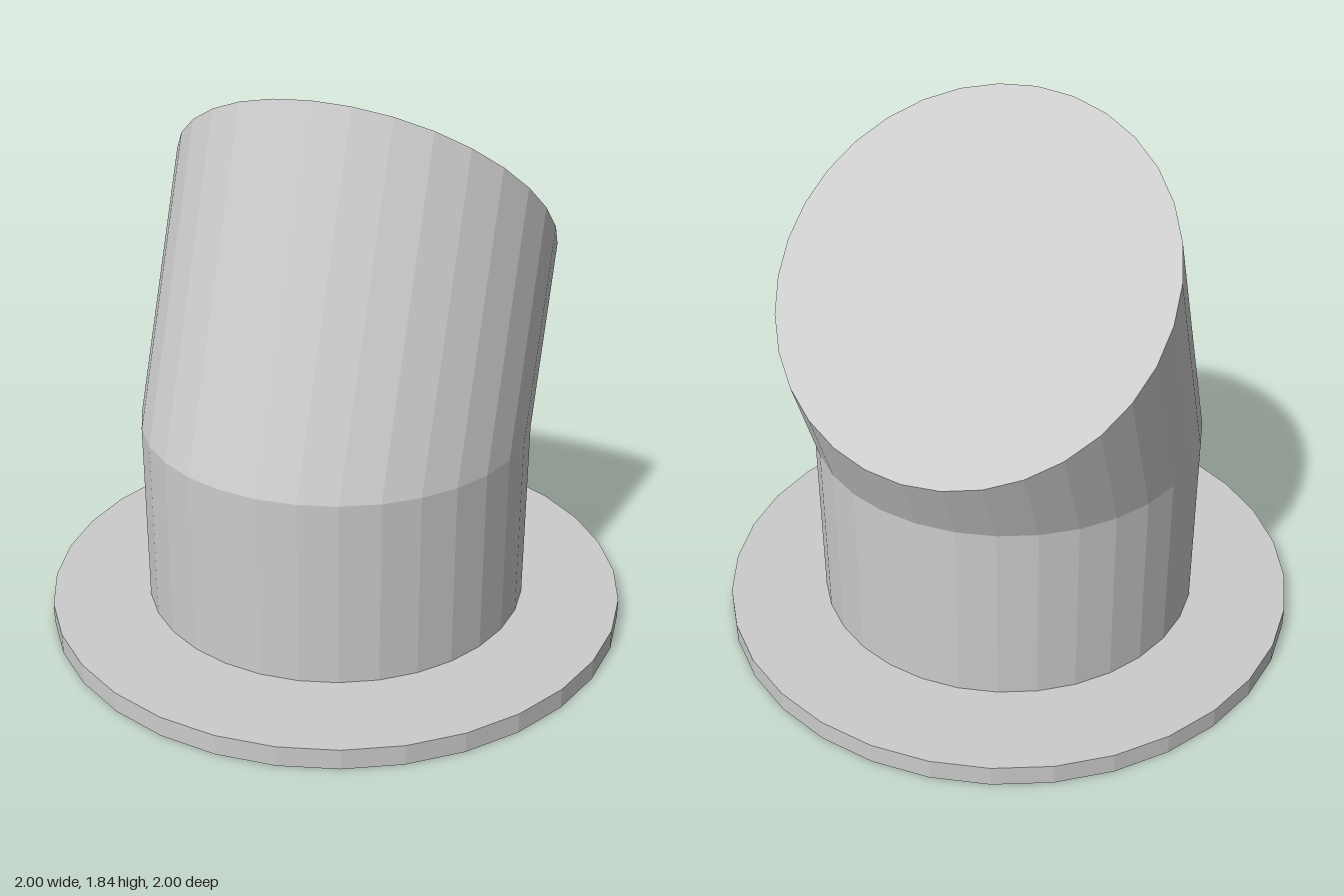
import * as THREE from 'three';

const SIDES = 32;
const R = 0.663;
const FLANGE_TOP = 0.07;
const BEND = 0.71;

export function createModel() {
  const group = new THREE.Group();
  const material = new THREE.MeshStandardMaterial({ color: 0xcccccc, flatShading: true });

  const add = (name, geometry) => {
    const mesh = new THREE.Mesh(geometry, material);
    mesh.name = name;
    group.add(mesh);
    return mesh;
  };

  // Upright cylinder standing between two heights
  const drum = (radius, y0, y1, open = false) =>
    new THREE.CylinderGeometry(radius, radius, y1 - y0, SIDES, 1, open).translate(0, (y0 + y1) / 2, 0);

  // Base plate and vertical pipe
  add('baseFlange', drum(1, 0, FLANGE_TOP));
  add('verticalPipe', drum(R, FLANGE_TOP, BEND, true));

  // Leaning pipe: the top ring is cut at a slant and slid backwards along the lean
  const lean = 0.403;
  const upper = drum(R, BEND, 1.375);
  const p = upper.attributes.position;
  for (let i = 0; i < p.count; i++) {
    if (p.getY(i) < 1) continue;
    const z = p.getZ(i);
    const y = 1.375 + 0.465 * (z / R);
    p.setY(i, y);
    p.setZ(i, z - lean * (y - BEND));
  }
  upper.computeVertexNormals();
  add('leaningPipe', upper);

  return group;
}
